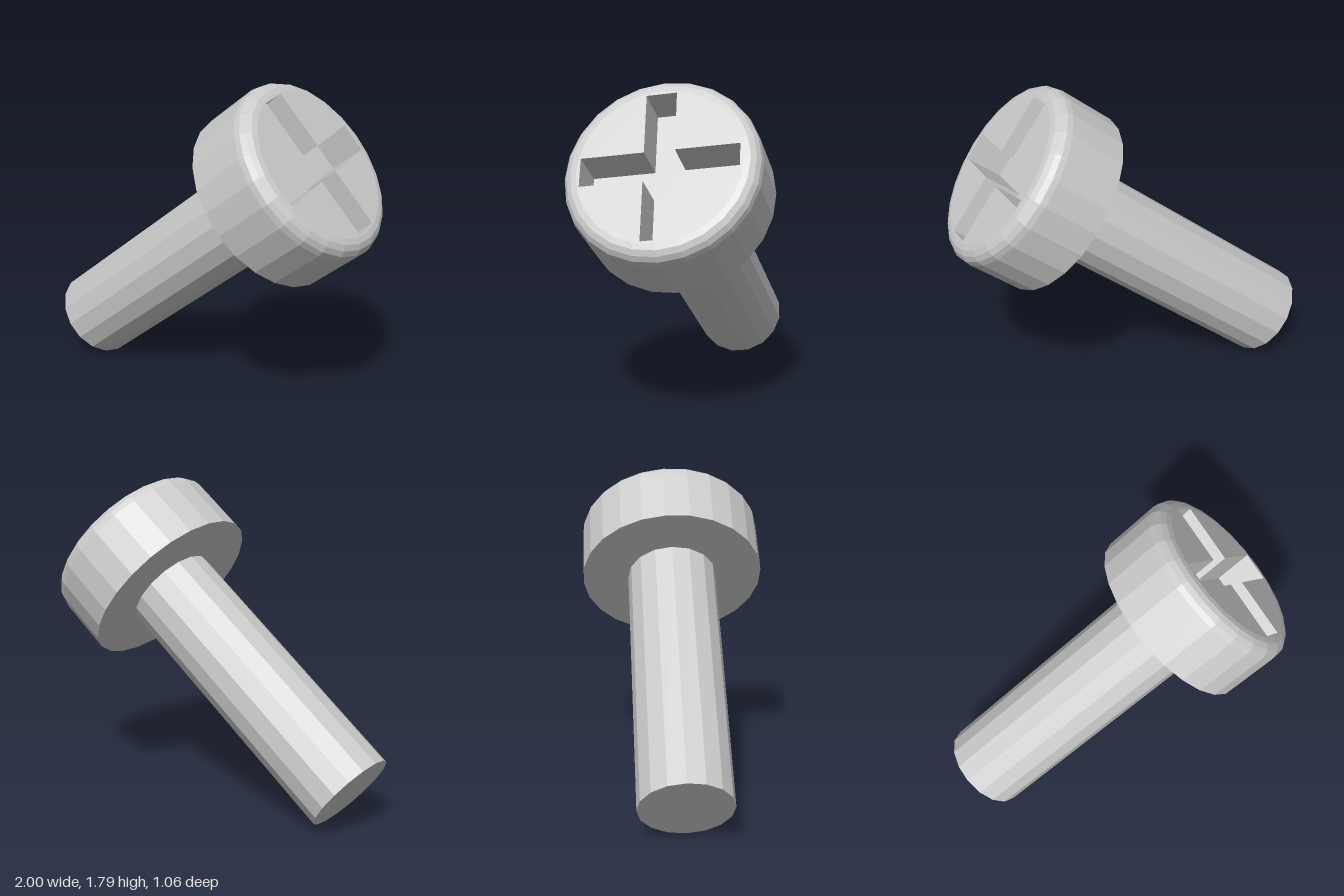
import * as THREE from 'three';

const SHAFT_R = 0.257, SHAFT_LEN = 1.566;
const HEAD_R = 0.522, HEAD_H = 0.415, FILLET = 0.085, HEAD_SIDES = 24;
const SLOT_HALF = 0.417, SLOT_W = 0.081, SLOT_DEPTH = 0.22;

export function createModel() {
  const screw = new THREE.Group();
  screw.name = 'screw';
  const material = new THREE.MeshStandardMaterial({ color: 0xcccccc, flatShading: true });
  const add = (name, geometry, y) => {
    const mesh = new THREE.Mesh(geometry, material);
    mesh.name = name;
    mesh.position.y = y;
    screw.add(mesh);
    return mesh;
  };

  // Plain sixteen-sided shaft, turned half a step so flats face the slots
  const shaft = add('shaft', new THREE.CylinderGeometry(SHAFT_R, SHAFT_R, SHAFT_LEN, 16), SHAFT_LEN / 2);
  shaft.rotation.y = Math.PI / 16;

  // Head: flat underside, straight side and rounded upper rim
  const profile = [new THREE.Vector2(0, 0), new THREE.Vector2(HEAD_R, 0)];
  for (let i = 0; i <= 4; i++) {
    const a = (i / 4) * Math.PI / 2;
    profile.push(new THREE.Vector2(
      HEAD_R - FILLET + FILLET * Math.cos(a),
      HEAD_H - FILLET + FILLET * Math.sin(a)));
  }
  add('headRim', new THREE.LatheGeometry(profile, HEAD_SIDES), SHAFT_LEN);

  // Top face of the head with the cross recess cut through it
  const topR = HEAD_R - FILLET;
  const disc = new THREE.Shape();
  for (let i = 0; i < HEAD_SIDES; i++) {
    const a = (i / HEAD_SIDES) * Math.PI * 2;
    disc[i ? 'lineTo' : 'moveTo'](topR * Math.cos(a), topR * Math.sin(a));
  }
  disc.closePath();
  const cross = [];
  for (let i = 0; i < 4; i++) {
    const corner = new THREE.Vector2(), turn = i * Math.PI / 2;
    for (const [x, y] of [[SLOT_HALF, -SLOT_W], [SLOT_HALF, SLOT_W], [SLOT_W, SLOT_W]]) {
      cross.push(corner.clone().set(x, y).rotateAround(new THREE.Vector2(), turn));
    }
  }
  disc.holes.push(new THREE.Path(cross));
  const top = new THREE.ExtrudeGeometry(disc, { depth: SLOT_DEPTH, bevelEnabled: false });
  top.rotateX(-Math.PI / 2);
  const floorY = SHAFT_LEN + HEAD_H - SLOT_DEPTH;
  add('headTop', top, floorY);

  // Floor of the cross recess
  const floor = new THREE.ShapeGeometry(new THREE.Shape(cross));
  floor.rotateX(-Math.PI / 2);
  add('recessFloor', floor, floorY);

  // Lean the screw: local y is its axis, local x runs along one slot
  const along = new THREE.Vector3(0, 0.13, -0.9915).normalize();
  const axis = new THREE.Vector3(0.789, 0.61, 0.08).normalize();
  const across = along.clone().cross(axis).normalize();
  axis.crossVectors(across, along);
  screw.quaternion.setFromRotationMatrix(new THREE.Matrix4().makeBasis(along, axis, across));
  screw.position.set(-0.843, 0.203, -0.135);

  const model = new THREE.Group();
  model.name = 'model';
  model.add(screw);
  return model;
}
